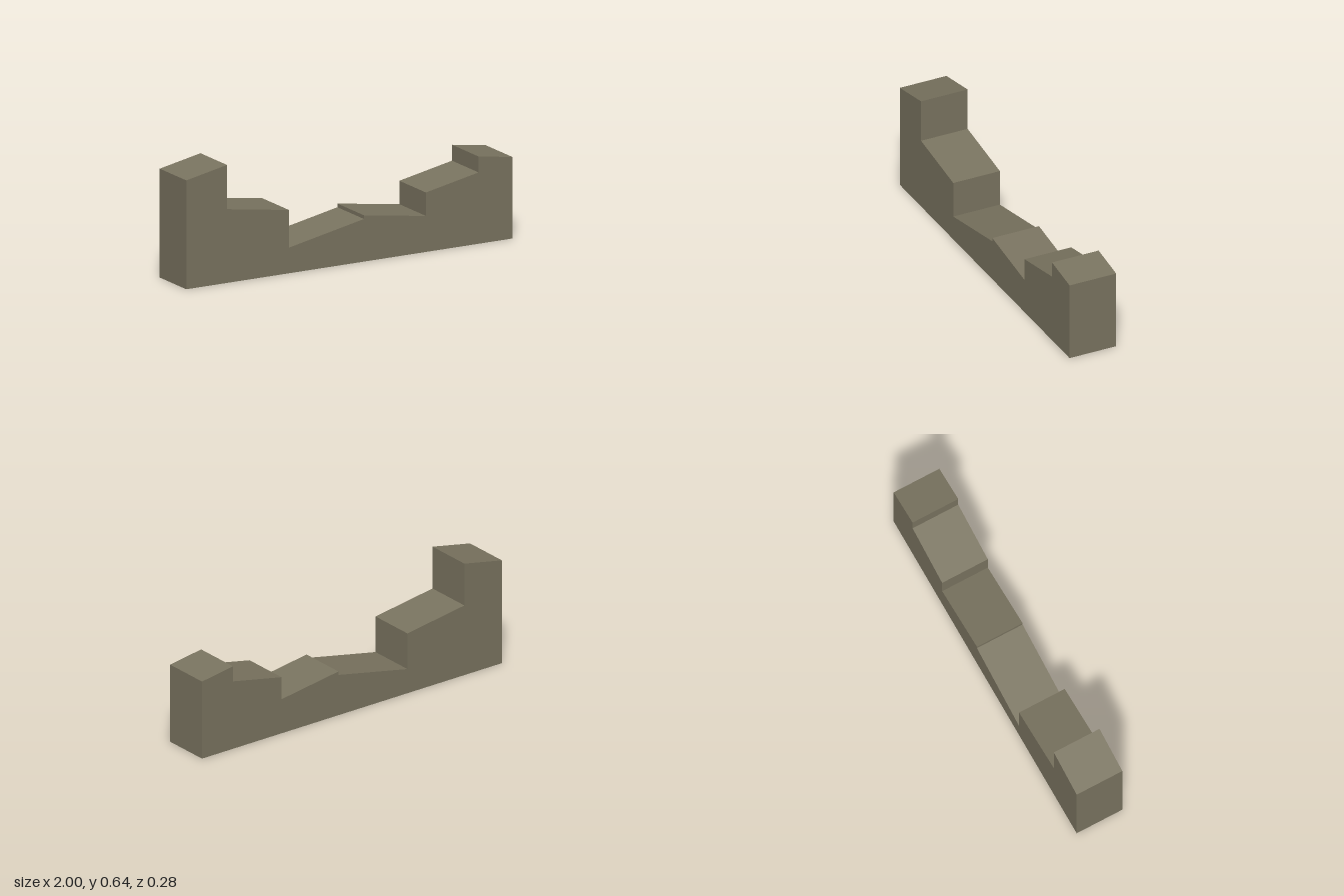
import * as THREE from 'three';

export function createModel() {
  const model = new THREE.Group();
  model.name = 'ruinedWall';
  const stone = new THREE.MeshStandardMaterial({ color: 0x7a7460 });
  stone.name = 'weathered stone';

  // Broken top edge, one sloping run per section: [x start, y start, x end, y end]
  const runs = [
    [-1, 0.595, -0.75, 0.645],
    [-0.75, 0.403, -0.37, 0.346],
    [-0.37, 0.14, 0.09, 0.233],
    [0.09, 0.253, 0.47, 0.197],
    [0.47, 0.325, 0.793, 0.39],
    [0.793, 0.477, 1, 0.446],
  ];
  const outline = new THREE.Shape();
  outline.moveTo(-1, 0);
  outline.lineTo(1, 0);
  for (const [x0, y0, x1, y1] of [...runs].reverse()) {
    outline.lineTo(x1, y1);
    outline.lineTo(x0, y0);
  }
  outline.closePath();

  // Solid wall, centred in depth
  const depth = 0.275;
  const geometry = new THREE.ExtrudeGeometry(outline, { depth, bevelEnabled: false });
  geometry.translate(0, 0, -depth / 2);
  const wall = new THREE.Mesh(geometry, stone);
  wall.name = 'brokenWall';
  model.add(wall);
  return model;
}
